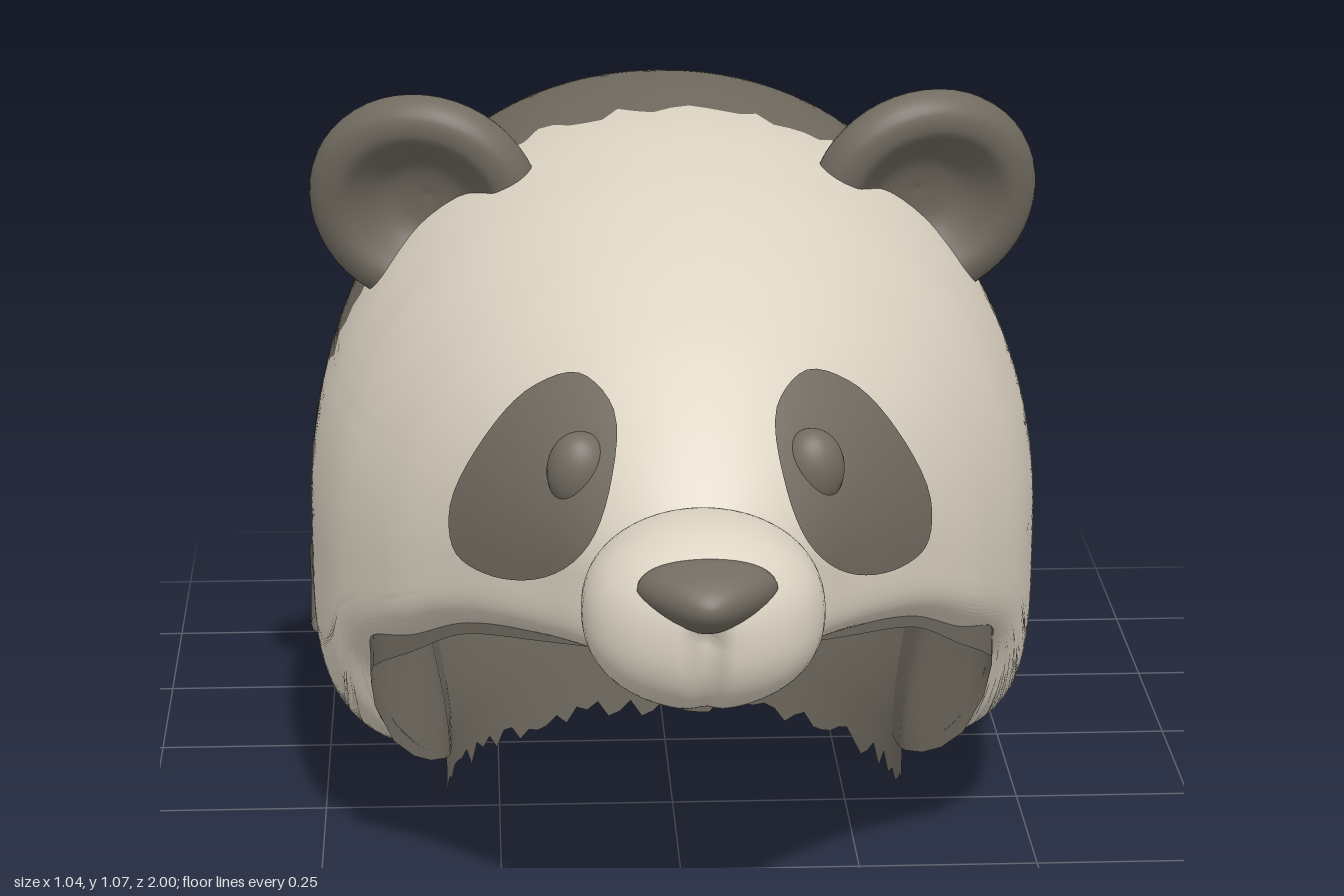
import * as THREE from 'three';

const cream = new THREE.MeshStandardMaterial({ color: 0xdcd3c3 });
cream.name = 'cream fur';
const dark = new THREE.MeshStandardMaterial({ color: 0x716b60, side: THREE.DoubleSide });
dark.name = 'dark fur';

// Smooth curve through [z, value] pairs without overshoot
function curve(pts) {
  const n = pts.length;
  const slope = i => (pts[i + 1][1] - pts[i][1]) / (pts[i + 1][0] - pts[i][0]);
  const tan = pts.map((p, i) => {
    if (i === 0) return slope(0);
    if (i === n - 1) return slope(n - 2);
    const a = slope(i - 1), b = slope(i);
    return a * b <= 0 ? 0 : 2 * a * b / (a + b);
  });
  return z => {
    z = THREE.MathUtils.clamp(z, pts[0][0], pts[n - 1][0]);
    let i = 0;
    while (i < n - 2 && z > pts[i + 1][0]) i++;
    const d = pts[i + 1][0] - pts[i][0], t = (z - pts[i][0]) / d, t2 = t * t, t3 = t2 * t;
    return pts[i][1] * (2 * t3 - 3 * t2 + 1) + pts[i + 1][1] * (3 * t2 - 2 * t3)
      + d * (tan[i] * (t3 - 2 * t2 + t) + tan[i + 1] * (t3 - t2));
  };
}

// Shell measurements along z: top, bottom, widest height, half width, opening half width, cavity height
const top = curve([[-1, .4], [-.985, .53], [-.95, .645], [-.9, .73], [-.8, .83], [-.6, .94], [-.4, .99], [-.2, 1.012],
  [0, 1.02], [.2, 1], [.4, .95], [.55, .875], [.65, .79], [.73, .7], [.75, .67]]);
const bottom = curve([[-1, .38], [-.985, .24], [-.95, .14], [-.9, .07], [-.8, .01], [-.7, 0], [-.5, .02], [-.2, .08],
  [0, .1], [.15, .13], [.2, .17], [.25, .27], [.3, .32], [.4, .385], [.5, .445], [.6, .47], [.73, .49], [.75, .52]]);
const middle = curve([[-1, .39], [-.95, .4], [-.8, .43], [0, .45], [.2, .46], [.4, .5], [.6, .58], [.75, .6]]);
const half = curve([[-1, 0], [-.985, .13], [-.95, .23], [-.9, .3], [-.8, .38], [-.6, .46], [-.4, .494], [-.1, .513],
  [0, .511], [.2, .482], [.4, .40], [.55, .29], [.65, .2], [.73, .12], [.75, .08]]);
const hole = curve([[-.64, 0], [-.62, .1], [-.55, .2], [-.4, .28], [-.1, .315], [.1, .32], [.18, .37], [.25, .425],
  [.3, .425], [.4, .365], [.5, .29], [.6, .2], [.66, .1], [.7, 0]]);
const cavity = curve([[-.64, 0], [-.62, .15], [-.55, .35], [-.4, .6], [0, .82], [.2, .75], [.4, .48], [.5, .32],
  [.6, .15], [.7, 0]]);
const UP = 2.1, LOW = 4.6;
const pw = (v, e) => Math.pow(Math.max(v, 0), e);

// Point on the outer shell: s runs from right rim (-1) over the top (0) to left rim (1)
function shellPoint(s, z) {
  const w = half(z), yc = middle(z), k = Math.abs(s), side = Math.sign(s);
  if (k <= .6) {
    const b = k / .6 * Math.PI / 2;
    return [side * w * pw(Math.sin(b), 2 / UP), yc + (top(z) - yc) * pw(Math.cos(b), 2 / UP), z];
  }
  const open = w > 0 ? Math.min(hole(z) / w, 1) : 0;
  const a = (k - .6) / .4 * Math.acos(pw(open, LOW / 2));
  return [side * w * pw(Math.cos(a), 2 / LOW), yc - (yc - bottom(z)) * pw(Math.sin(a), 2 / LOW), z];
}

// Point on the inner cavity arch, sharing the rim with the outer shell
function innerPoint(u, z) {
  const t = u * Math.PI, h = hole(z);
  const bulge = Math.min(.08, Math.max(0, half(z) - h) * .5, h) * THREE.MathUtils.smoothstep(Math.sin(t), 0, .5);
  return [-(h + bulge) * Math.cos(t), bottom(z) + cavity(z) * Math.sin(t), z];
}

// Front surface depth at (x, y), found by bisection
function faceZ(x, y) {
  let a = 0, b = .75;
  for (let i = 0; i < 30; i++) {
    const z = (a + b) / 2, yc = middle(z), up = y > yc, e = up ? UP : LOW;
    const v = up ? (y - yc) / (top(z) - yc) : (yc - y) / (yc - bottom(z));
    if (pw(Math.abs(x) / half(z), e) + pw(v, e) < 1) a = z; else b = z;
  }
  return a;
}

// Surface grid from f(u, v), both in 0..1
function grid(f, nu, nv, flip) {
  const pos = [], idx = [];
  for (let j = 0; j <= nv; j++) for (let i = 0; i <= nu; i++) pos.push(...f(i / nu, j / nv, i));
  for (let j = 0; j < nv; j++) for (let i = 0; i < nu; i++) {
    const a = j * (nu + 1) + i, b = a + 1, c = a + nu + 2, d = a + nu + 1;
    if (flip) idx.push(a, c, b, a, d, c); else idx.push(a, b, c, a, c, d);
  }
  const g = new THREE.BufferGeometry();
  g.setAttribute('position', new THREE.Float32BufferAttribute(pos, 3));
  g.setIndex(idx);
  g.computeVertexNormals();
  return g;
}

// Sphere whose unit points are moved by a rule
function shapedBall(rule) {
  const g = new THREE.SphereGeometry(1, 56, 40), p = g.attributes.position;
  for (let i = 0; i < p.count; i++) p.setXYZ(i, ...rule(p.getX(i), p.getY(i), p.getZ(i)));
  g.computeVertexNormals();
  return g;
}

const noise = i => { const v = Math.sin(i * 127.1 + 3.7) * 43758.5453; return v - Math.floor(v); };
const spline = (pts, closed) => new THREE.CatmullRomCurve3(pts.map(q => new THREE.Vector3(q[0], q[1], 0)), closed);

export function createModel() {
  const model = new THREE.Group();
  const add = (name, geo, mat, parent = model) => {
    const m = new THREE.Mesh(geo, mat);
    m.name = name;
    parent.add(m);
    return m;
  };
  const ball = (name, mat, r, p) => {
    const m = add(name, new THREE.SphereGeometry(1, 36, 24), mat);
    m.scale.set(...r);
    m.position.set(...p);
    return m;
  };

  // Outer shell in two colours meeting at a ragged fur line
  const border = i => -.025 - .07 * Math.pow(noise(i), 2.5) + .02 * noise(i + 500);
  add('faceShell', grid((u, v, i) => shellPoint(u * 2 - 1, THREE.MathUtils.lerp(border(i), .75, v)), 120, 70, true), cream);
  add('backShell', grid((u, v, i) => shellPoint(u * 2 - 1,
    THREE.MathUtils.lerp(border(i), -1, Math.sin(v * Math.PI / 2))), 120, 80, false), dark);

  // Inside of the hood
  add('innerShell', grid((u, v) => innerPoint(u, -.64 + 1.34 * (.5 - .5 * Math.cos(v * Math.PI))), 64, 70, false), dark);

  // Curved lining at the back of the head space with a ragged hem
  add('lining', grid((u, v, i) => {
    const a = u * Math.PI, y = v === 0 ? .03 + .035 * noise(i + 40) : .07 + .78 * v;
    const dome = Math.sqrt(1 - Math.pow(v, 3)), flare = THREE.MathUtils.smoothstep(y, .1, .4);
    return [(.325 + .06 * flare) * dome * Math.cos(a), y, .07 - .34 * dome * Math.sin(a)];
  }, 60, 20, false), dark);

  // Rounded muzzle with a groove under the pointed nose
  const muzzle = new THREE.Group();
  muzzle.name = 'muzzle';
  model.add(muzzle);
  const box = (c, e) => Math.sign(c) * pw(Math.abs(c), e);
  add('muzzleBall', shapedBall((x, y, z) => {
    const groove = z > 0 && y < .25 ? .035 * Math.exp(-Math.pow(x / .1, 2)) * z * Math.min(1, (.25 - y) * 4) : 0;
    return [x * .151, box(y, .9) * .12, box(z, .85) * .135 - groove];
  }), cream, muzzle).position.set(0, .595, .835);
  add('nose', shapedBall((x, y, z) => [
    x * .083 * (1 + .25 * y) * (1 - .45 * Math.max(z, 0)), y * .046 * (1 - .25 * Math.max(z, 0)), z * .066,
  ]), dark, muzzle).position.set(0, .645, .934);

  // Ear profile: rounded back, thick rim, small hollow front
  const earProfile = spline([[0, -.052], [.08, -.048], [.135, -.03], [.163, .004], [.15, .038],
    [.118, .046], [.088, .025], [.05, -.005], [0, -.014]], false).getPoints(36)
    .map(q => new THREE.Vector2(Math.max(q.x, 0), q.y));

  // Eye patch outline
  const patch = spline([[.1, .79], [.14, .822], [.205, .795], [.268, .72], [.31, .625], [.302, .568], [.258, .556],
    [.195, .575], [.14, .63], [.108, .705]], true);

  for (const s of [-1, 1]) {
    const side = s > 0 ? 'left' : 'right';
    const earGeo = new THREE.LatheGeometry(earProfile, 48);
    earGeo.rotateX(Math.PI / 2);
    const ear = add(side + 'Ear', earGeo, dark);
    ear.position.set(s * .34, .918, .05);
    ear.rotation.set(.27, s * .22, 0);

    // Patch laid over the face, with a low eye bump
    add(side + 'EyePatch', grid((u, v) => {
      const q = patch.getPoint(u), x = THREE.MathUtils.lerp(.205, q.x, v), y = THREE.MathUtils.lerp(.69, q.y, v);
      return [s * (x + .003), y + .002, faceZ(x, y) + .007];
    }, 48, 12, s < 0), dark);
    ball(side + 'Eye', dark, [.042, .052, .034], [s * .147, .715, faceZ(.147, .715) - .012]);

    // Small crescent on each flank
    const arc = new THREE.TorusGeometry(.06, .022, 12, 24, Math.PI * .9);
    arc.rotateZ(-Math.PI * .38);
    const crescent = add(side + 'SideCrescent', arc, dark);
    crescent.rotation.y = Math.PI / 2;
    crescent.position.set(s * .498, .295, -.098);
  }

  // Little tail
  const tail = ball('tail', dark, [.021, .04, .068], [0, .725, -.925]);
  tail.rotation.x = -.45;
  return model;
}
